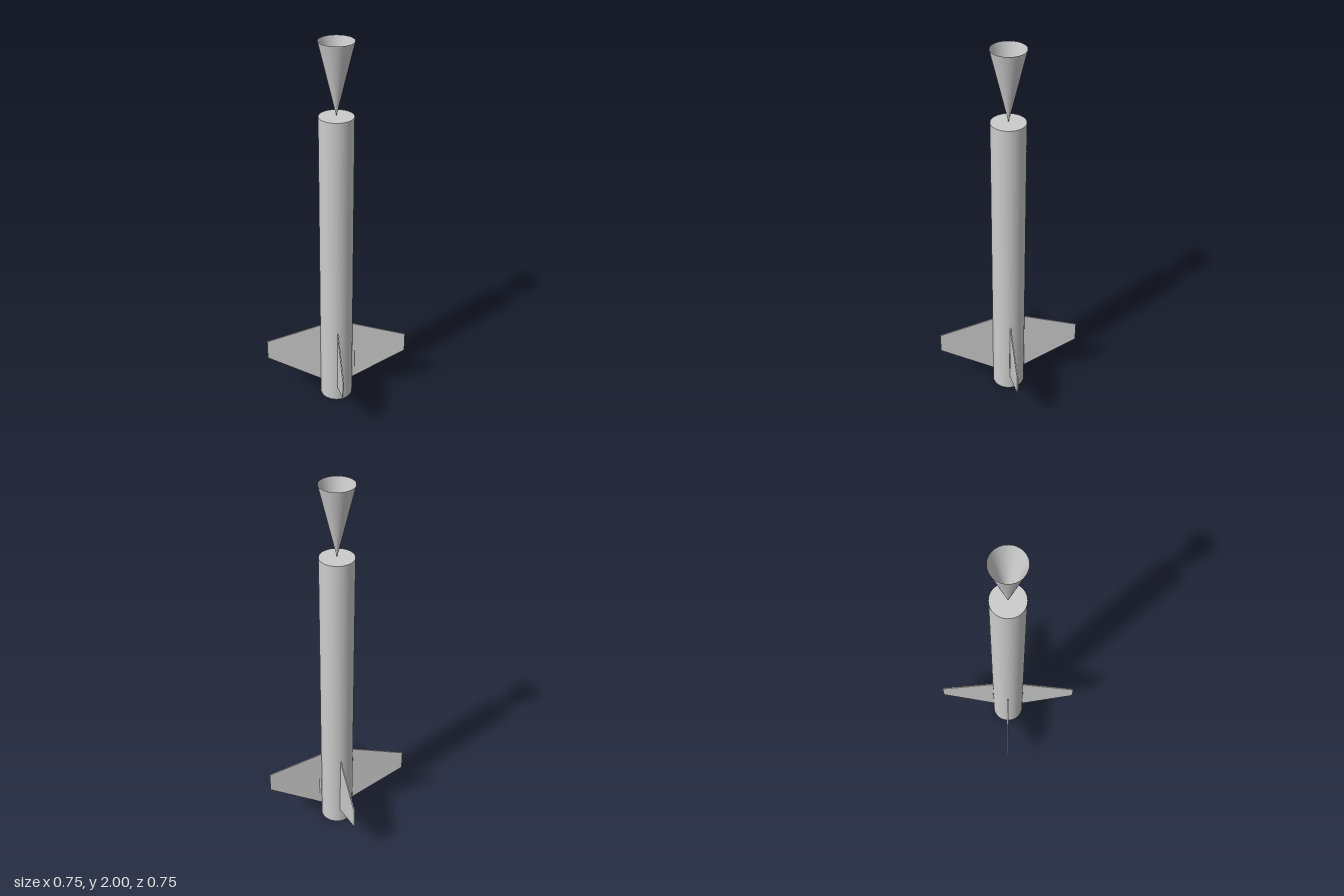
import * as THREE from 'three';

export function createModel() {
  const model = new THREE.Group();
  model.name = 'modelRocket';

  const grey = new THREE.MeshStandardMaterial({ color: 0xcccccc, side: THREE.DoubleSide });
  grey.name = 'lightGrey';

  const R = 0.086, BODY_H = 1.638;
  const add = (name, geometry, parent = model) => {
    const mesh = new THREE.Mesh(geometry, grey);
    mesh.name = name;
    parent.add(mesh);
    return mesh;
  };

  // Closed body tube
  add('bodyTube', new THREE.CylinderGeometry(R, R, BODY_H, 64)).position.y = BODY_H / 2;

  // Open cone balanced on its tip, rim upward
  const coneH = 2 - BODY_H;
  add('noseCone', new THREE.CylinderGeometry(R, 0, coneH, 64, 1, true)).position.y = BODY_H + coneH / 2;

  // Four thin swept fins
  const T = 0.006;
  const outline = new THREE.Shape([
    [R - 0.002, 0.086], [0.373, 0.25], [0.373, 0.357], [R - 0.002, 0.447],
  ].map(([x, y]) => new THREE.Vector2(x, y)));
  const finGeometry = new THREE.ExtrudeGeometry(outline, { depth: T, bevelEnabled: false });
  finGeometry.translate(0, 0, -T / 2);
  const fins = new THREE.Group();
  fins.name = 'fins';
  model.add(fins);
  for (let i = 0; i < 4; i++) {
    add(`fin${i + 1}`, finGeometry, fins).rotation.y = i * Math.PI / 2;
  }

  // Small launch lug beside the left fin's root
  add('launchLug', new THREE.CylinderGeometry(0.007, 0.007, 0.107, 24, 1, true)).position.set(0.093, 0.214, 0);

  return model;
}
